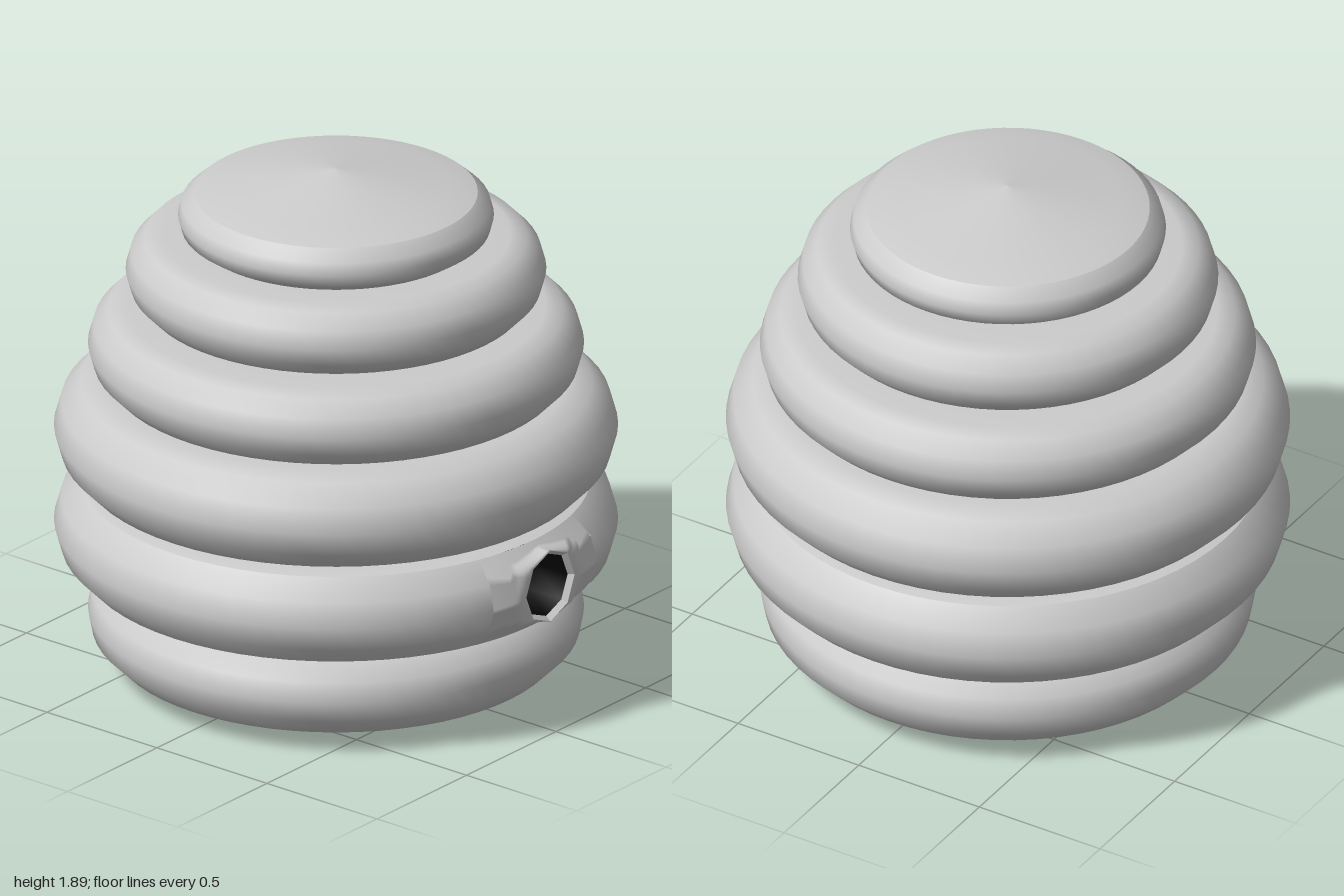
import * as THREE from 'three';
import { ParametricGeometry } from 'three/addons/geometries/ParametricGeometry.js';

const SEG = 64;

export function createModel() {
  const hive = new THREE.Group();
  hive.name = 'beehive';
  const grey = new THREE.MeshStandardMaterial({ color: 0xcccccc, side: THREE.DoubleSide });
  const facet = new THREE.MeshStandardMaterial({ color: 0xcccccc, side: THREE.DoubleSide, flatShading: true });
  const black = new THREE.MeshStandardMaterial({ color: 0x050505, side: THREE.DoubleSide });

  const add = (name, geometry, material = grey, parent = hive) => {
    const mesh = new THREE.Mesh(geometry, material);
    mesh.name = name;
    parent.add(mesh);
    return mesh;
  };
  const lathe = (pts, start = 0, length = Math.PI * 2, seg = SEG) =>
    new THREE.LatheGeometry(pts.map(([r, y]) => new THREE.Vector2(r, y)), seg, start, length);

  // Rounded coil outline, from its lower lip to its upper lip
  const coil = (R, y0, y1) => {
    const h = (y1 - y0) / 2, c = (y0 + y1) / 2;
    return [[0.97, -1], [0.52, -0.89], [0.14, -0.5], [0, 0], [0.14, 0.5], [0.52, 0.89], [0.97, 1]]
      .map(([d, k]) => [R - d * h, c + k * h]);
  };

  // Plain coils, each running inward under its neighbours
  add('baseCoil', lathe([[0, 0.005], [0.54, 0.012], [0.7, 0.035], [0.79, 0.07], [0.86, 0.14],
    [0.875, 0.215], [0.86, 0.29], [0.79, 0.355], [0.7, 0.37], [0.6, 0.372]]));
  [[0.995, 0.735, 1.095], [0.875, 1.09, 1.37], [0.742, 1.383, 1.645]].forEach(([R, y0, y1], i) => {
    const p = coil(R, y0, y1);
    add('coil' + (i + 3), lathe([[p[0][0] - 0.15, y0], ...p, [p[6][0] - 0.15, y1]]));
  });
  add('topCoil', lathe([[0.35, 1.638], [0.5, 1.645], [0.545, 1.675], [0.557, 1.72], [0.545, 1.765], [0.5, 1.805]]));
  add('cap', lathe([[0.5, 1.805], [0.4, 1.83], [0, 1.895]]));

  // Second coil, left open at +x for the entrance
  const entranceCoil = new THREE.Group();
  entranceCoil.name = 'entranceCoil';
  hive.add(entranceCoil);
  const prof = coil(0.995, 0.37, 0.735);
  const body = prof.slice(1, 6);
  const gap = 6 * Math.PI * 2 / SEG / 2;
  add('lowerLip', lathe([[0.65, 0.37], prof[0], prof[1]]), grey, entranceCoil);
  add('upperLip', lathe([prof[5], prof[6], [0.65, 0.735]]), grey, entranceCoil);
  add('coilBody', lathe(body, Math.PI / 2 + gap, Math.PI * 2 - 2 * gap, SEG - 6), grey, entranceCoil);

  const radiusAt = (y) => {
    let i = 0;
    while (i < body.length - 2 && y > body[i + 1][1]) i++;
    const [r0, y0] = body[i], [r1, y1] = body[i + 1];
    return r0 + (r1 - r0) * (y - y0) / (y1 - y0);
  };

  // Patch of coil surface that flattens toward an octagonal opening
  const midY = (body[0][1] + body[4][1]) / 2, halfY = (body[4][1] - body[0][1]) / 2;
  const holeY = 0.557, rimR = 0.135, holeR = 0.12, faceX = 0.975;
  const patch = (u, v, target) => {
    const a = u * Math.PI * 2, c = Math.cos(a), s = Math.sin(a);
    const m = Math.max(Math.abs(c), Math.abs(s));
    const step = Math.PI / 4;
    const r = rimR * Math.cos(step / 2) / Math.cos((a % step) - step / 2);
    const y = THREE.MathUtils.lerp(midY + halfY * s / m, holeY + r * s, v);
    const R = radiusAt(y);
    const phi = THREE.MathUtils.lerp(gap * c / m, Math.asin(r * c / R), v);
    const flat = THREE.MathUtils.smoothstep(v, 0.6, 1);
    target.set(THREE.MathUtils.lerp(R * Math.cos(phi), faceX, flat), y, -R * Math.sin(phi));
  };
  add('entranceSurround', new ParametricGeometry(patch, 64, 10), grey, entranceCoil);

  // Entrance: bevelled rim and a dark closed tunnel, both eight-sided
  const alongX = (mesh) => {
    mesh.rotation.z = -Math.PI / 2;
    mesh.position.y = holeY;
  };
  alongX(add('entranceRim', lathe([[holeR, faceX - 0.02], [rimR, faceX]], 0, Math.PI * 2, 8), facet, entranceCoil));
  alongX(add('entranceTunnel',
    lathe([[0, 0.8], [holeR, 0.8], [holeR, faceX - 0.02]], 0, Math.PI * 2, 8), black, entranceCoil));

  return hive;
}
